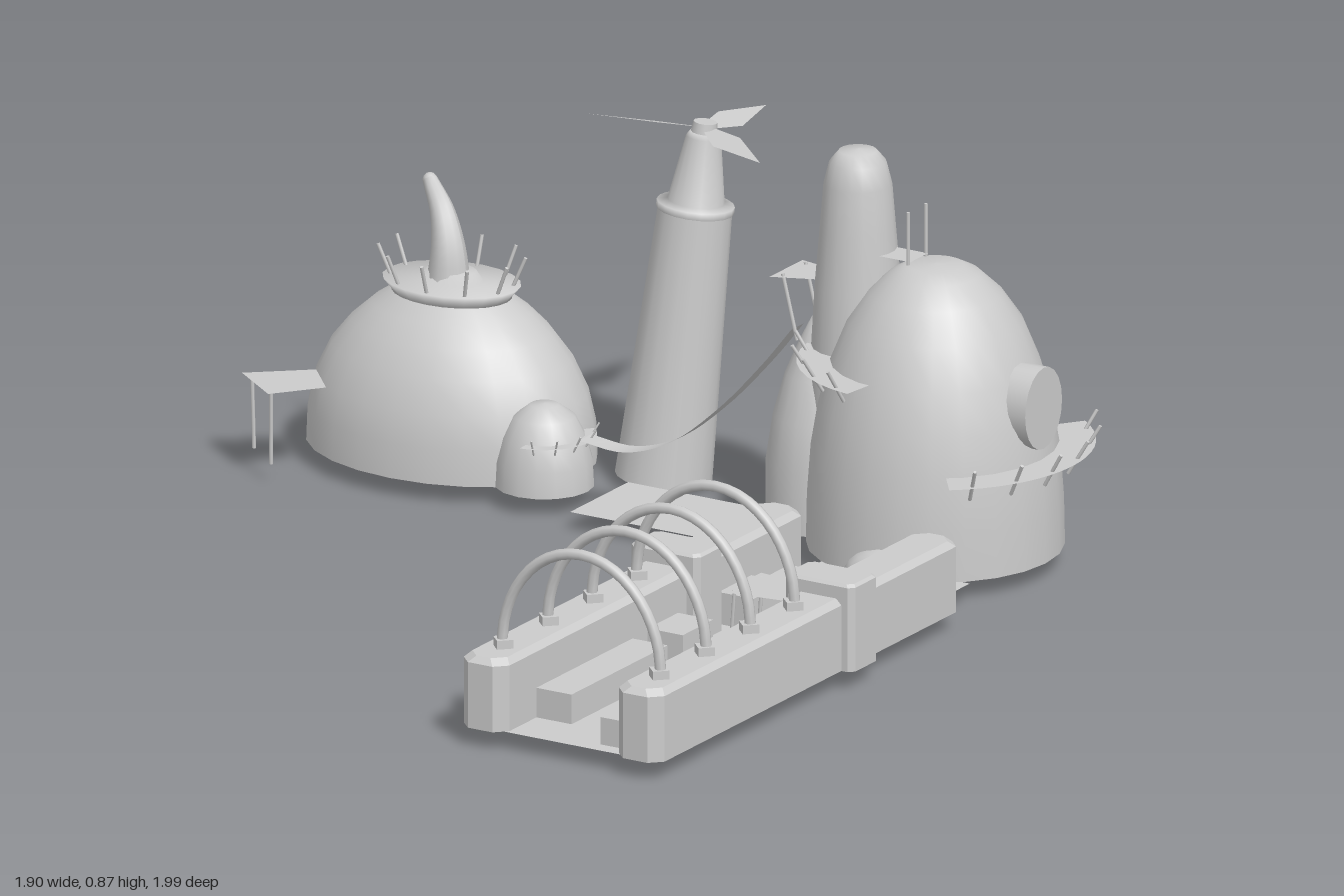
import * as THREE from 'three';

const mat = new THREE.MeshStandardMaterial({ color: 0xcccccc, side: THREE.DoubleSide });
const flat = new THREE.MeshStandardMaterial({ color: 0xcccccc, side: THREE.DoubleSide, flatShading: true });
const V = (x, y, z) => new THREE.Vector3(x, y, z);
const G = 0.045; // ground level of the buildings

export function createModel() {
  const root = new THREE.Group();

  const add = (name, geo, x = 0, y = 0, z = 0, m = mat, parent = root) => {
    const mesh = new THREE.Mesh(geo, m);
    mesh.name = name;
    mesh.position.set(x, y, z);
    parent.add(mesh);
    return mesh;
  };
  // open shell of revolution from [radius, height] pairs
  const lathe = (name, pts, x, z, seg = 20, y = 0, parent = root) =>
    add(name, new THREE.LatheGeometry(pts.map(p => new THREE.Vector2(p[0], p[1])), seg), x, y, z, mat, parent);
  // thin rod between two points
  const rod = (name, a, b, r = 0.004) => {
    const d = b.clone().sub(a);
    const m = add(name, new THREE.CylinderGeometry(r, r, d.length(), 6));
    m.position.copy(a).addScaledVector(d, 0.5);
    m.quaternion.setFromUnitVectors(V(0, 1, 0), d.normalize());
  };
  // flat plate from [x, z] corners
  const plate = (name, pts, y) => {
    const s = new THREE.Shape(pts.map(p => new THREE.Vector2(p[0], -p[1])));
    add(name, new THREE.ShapeGeometry(s).rotateX(-Math.PI / 2), 0, y, 0);
  };
  // curved balcony with leaning railing posts
  const balcony = (name, x, y, z, r0, r1, from, to, posts, k = 1) => {
    add(name, new THREE.RingGeometry(r0, r1, 18, 1, from, to - from).rotateX(-Math.PI / 2), x, y, z);
    for (let i = 0; i < posts; i++) {
      const a = from + (to - from) * (i + 0.5) / posts, c = Math.cos(a), s = -Math.sin(a);
      const p = (r, h) => V(x + r * c, y + h, z + r * s);
      rod(name + 'Post', p(r1 - 0.035 * k, -0.035 * k), p(r1 + 0.01 * k, 0.04 * k), 0.004 * k);
    }
  };
  // open-bottomed block with chamfered upright corners and top rim
  const chamferBlock = (name, x, z, w, d, h, c) => {
    const loop = (i, y) => {
      const a = w / 2 - i, b = d / 2 - i;
      return [[a, b - c], [a - c, b], [c - a, b], [-a, b - c], [-a, c - b], [c - a, -b], [a - c, -b], [a, c - b]]
        .map(p => [p[0], y, p[1]]);
    };
    const rings = [loop(0, 0), loop(0, h - c * 0.5), loop(c * 0.5, h)], pos = [];
    for (let r = 0; r < 2; r++) for (let i = 0; i < 8; i++) {
      const j = (i + 1) % 8, A = rings[r], B = rings[r + 1];
      pos.push(...A[i], ...B[j], ...A[j], ...A[i], ...B[i], ...B[j]);
    }
    for (let i = 1; i < 7; i++) pos.push(...rings[2][0], ...rings[2][i + 1], ...rings[2][i]);
    const g = new THREE.BufferGeometry();
    g.setAttribute('position', new THREE.Float32BufferAttribute(pos, 3));
    g.computeVertexNormals();
    add(name, g, x, G, z, flat);
  };

  // ---- oval dome house
  const oval = new THREE.Group();
  oval.name = 'ovalHouse';
  oval.position.set(-0.585, 0, -0.555);
  oval.scale.z = 0.75;
  root.add(oval);
  lathe('ovalDome', [[0.325, G], [0.322, 0.12], [0.305, 0.19], [0.27, 0.26], [0.225, 0.315], [0.18, 0.355], [0.135, 0.385]], 0, 0, 24, 0, oval);
  lathe('ovalCollar', [[0.132, 0.385], [0.155, 0.412], [0.07, 0.415], [0.055, 0.435], [0, 0.438]], 0, 0, 20, 0, oval);
  for (let i = 0; i < 10; i++) {
    const a = i / 10 * Math.PI * 2 + 0.3, c = Math.cos(a), s = 0.75 * Math.sin(a);
    rod('collarPost', V(-0.585 + 0.13 * c, 0.395, -0.555 + 0.13 * s), V(-0.585 + 0.165 * c, 0.475, -0.555 + 0.165 * s));
  }
  // curved tapering chimney
  const horn = new THREE.CatmullRomCurve3([V(-0.59, 0.41, -0.55), V(-0.592, 0.48, -0.552), V(-0.615, 0.55, -0.567), V(-0.665, 0.605, -0.598)]);
  const hg = new THREE.TubeGeometry(horn, 12, 1, 12), hp = hg.attributes.position;
  for (let i = 0; i < hp.count; i++) {
    const t = Math.floor(i / 13) / 12, c = horn.getPointAt(t);
    const v = V(0, 0, 0).fromBufferAttribute(hp, i).sub(c).multiplyScalar(0.046 - 0.03 * t).add(c);
    hp.setXYZ(i, v.x, v.y, v.z);
  }
  hg.computeVertexNormals();
  add('chimney', hg);
  add('chimneyTip', new THREE.SphereGeometry(0.016, 10, 6), -0.665, 0.605, -0.598);
  // landing on legs
  plate('landing', [[-0.84, -0.43], [-0.96, -0.33], [-0.84, -0.24], [-0.76, -0.34]], 0.205);
  rod('landingLeg', V(-0.935, 0.205, -0.33), V(-0.93, G, -0.33));
  rod('landingLeg', V(-0.845, 0.205, -0.26), V(-0.845, G, -0.26));
  // side annex
  lathe('annex', [[0.105, G], [0.102, 0.1], [0.088, 0.15], [0.065, 0.195], [0.03, 0.22], [0, 0.223]], -0.293, -0.45, 16);
  balcony('annexBalcony', -0.293, 0.155, -0.45, 0.075, 0.11, -1.5, 0.9, 5, 0.5);

  // ---- windmill, leaning slightly
  const mill = new THREE.Group();
  mill.name = 'windmill';
  mill.position.set(-0.15, 0.017, -0.69);
  mill.quaternion.setFromUnitVectors(V(0, 1, 0), V(0.06, 0.755, -0.065).normalize());
  root.add(mill);
  lathe('millTower', [[0.102, 0], [0.078, 0.585], [0.082, 0.585], [0.082, 0.6], [0.06, 0.605], [0.037, 0.745], [0.03, 0.755], [0, 0.757]], 0, 0, 18, 0, mill);
  add('rotorHub', new THREE.CylinderGeometry(0.025, 0.028, 0.025, 12), 0, 0.765, 0, mat, mill);
  const bs = new THREE.Shape([[0.015, -0.012], [0.1, -0.034], [0.245, 0], [0.1, 0.03], [0.015, 0.012]].map(p => new THREE.Vector2(...p)));
  for (let i = 0; i < 3; i++) {
    const blade = add('rotorBlade', new THREE.ShapeGeometry(bs).rotateX(-Math.PI / 2 + 0.25), 0, 0.765, 0, mat, mill);
    blade.rotation.y = Math.PI / 2 + i * Math.PI * 2 / 3;
  }

  // ---- ground pad and hanging bridge
  plate('groundPad', [[-0.15, -0.55], [0.2, -0.55], [0.2, -0.32], [-0.15, -0.32]], G);
  const path = new THREE.CatmullRomCurve3([V(-0.2, 0.16, -0.46), V(-0.1, 0.148, -0.473), V(0, 0.18, -0.492), V(0.1, 0.262, -0.518), V(0.2, 0.375, -0.54), V(0.265, 0.46, -0.55)]);
  const bg = new THREE.PlaneGeometry(1, 1, 24, 1), bp = bg.attributes.position;
  for (let i = 0; i < bp.count; i++) {
    const c = path.getPoint(bp.getX(i) + 0.5);
    bp.setXYZ(i, c.x, c.y, c.z - bp.getY(i) * 0.05);
  }
  bg.computeVertexNormals();
  add('hangingBridge', bg);

  // ---- main domed house
  const X = 0.6, Z = -0.555;
  lathe('mainDome', [[0.27, G], [0.268, 0.15], [0.26, 0.26], [0.245, 0.35], [0.222, 0.44], [0.185, 0.53], [0.14, 0.595], [0.095, 0.637], [0.06, 0.655], [0, 0.658]], X, Z, 24);
  lathe('tallTurret', [[0.1, G], [0.1, 0.4], [0.09, 0.58], [0.08, 0.7], [0.072, 0.8], [0.06, 0.848], [0.04, 0.872], [0, 0.876]], 0.41, Z, 18);
  lathe('sideTurret', [[0.12, G], [0.12, 0.18], [0.105, 0.28], [0.08, 0.37], [0.05, 0.44], [0.025, 0.49], [0, 0.5]], 0.325, Z, 18);
  add('entranceDome', new THREE.SphereGeometry(0.1, 16, 6, 0, Math.PI * 2, 0, Math.PI / 2).scale(1, 0.65, 0.8), 0.64, G, -0.305);
  const port = add('roundWindow', new THREE.CylinderGeometry(0.073, 0.073, 0.12, 20).rotateZ(Math.PI / 2), 0.805, 0.385, Z);
  port.scale.y = 1.22;
  balcony('upperBalcony', X, 0.445, Z, 0.2, 0.29, 1.7, 4.58, 9);
  balcony('lowerBalcony', X, 0.27, Z, 0.25, 0.335, -0.93, 0.93, 6);
  // roof walkway between turret and dome
  plate('roofWalk', [[0.46, -0.59], [0.56, -0.59], [0.56, -0.52], [0.46, -0.52]], 0.662);
  for (const z of [-0.59, -0.52]) rod('roofWalkPost', V(0.555, 0.64, z), V(0.555, 0.77, z));
  // turret lookout
  plate('lookout', [[0.24, -0.61], [0.34, -0.59], [0.34, -0.52], [0.24, -0.48]], 0.585);
  for (const z of [-0.59, -0.5]) rod('lookoutBrace', V(0.26, 0.59, z), V(0.295, 0.45, z));

  // ---- dock
  plate('dockFloor', [[0.465, -0.36], [0.805, -0.36], [0.805, 0.975], [0.465, 0.975]], G);
  for (const x of [0.443, 0.823]) {
    chamferBlock('dockWall', x, 0.39, 0.112, 1.205, 0.157, 0.026);
    chamferBlock('dockCollar', x - 0.002 + (x > 0.6 ? 0 : 0.002), 0.215, 0.17, 0.105, 0.19, 0.012);
  }
  // crates: x0, x1, z0, z1, height
  const crates = [
    [0.49, 0.55, -0.14, -0.02, 0.05], [0.49, 0.585, 0.01, 0.14, 0.07], [0.49, 0.585, 0.3, 0.42, 0.07], [0.49, 0.585, 0.48, 0.86, 0.065],
    [0.705, 0.78, -0.08, 0.05, 0.05], [0.685, 0.78, 0.26, 0.58, 0.065], [0.685, 0.78, 0.62, 0.75, 0.05], [0.705, 0.78, 0.82, 0.94, 0.06]];
  for (const [a, b, c, d, h] of crates)
    add('crate', new THREE.BoxGeometry(b - a, h, d - c), (a + b) / 2, G + h / 2, (c + d) / 2, flat);
  plate('dockLedge', [[0.61, 0.15], [0.76, 0.17], [0.76, 0.28], [0.61, 0.3]], 0.18);
  for (const z of [0.17, 0.28]) rod('ledgeLeg', V(0.625, 0.18, z), V(0.615, G, z));
  // arches with diamond feet
  for (const z of [0.37, 0.545, 0.72, 0.9]) {
    const pts = [];
    for (let i = 0; i <= 12; i++) {
      const a = Math.PI * i / 12;
      pts.push(V(0.634 - 0.195 * Math.cos(a), 0.205 + 0.232 * Math.sin(a), z));
    }
    add('arch', new THREE.TubeGeometry(new THREE.CatmullRomCurve3(pts), 24, 0.012, 8));
    for (const x of [0.443, 0.825])
      add('archFoot', new THREE.CylinderGeometry(0.025, 0.025, 0.02, 4), x, 0.211, z, flat);
  }
  return root;
}
